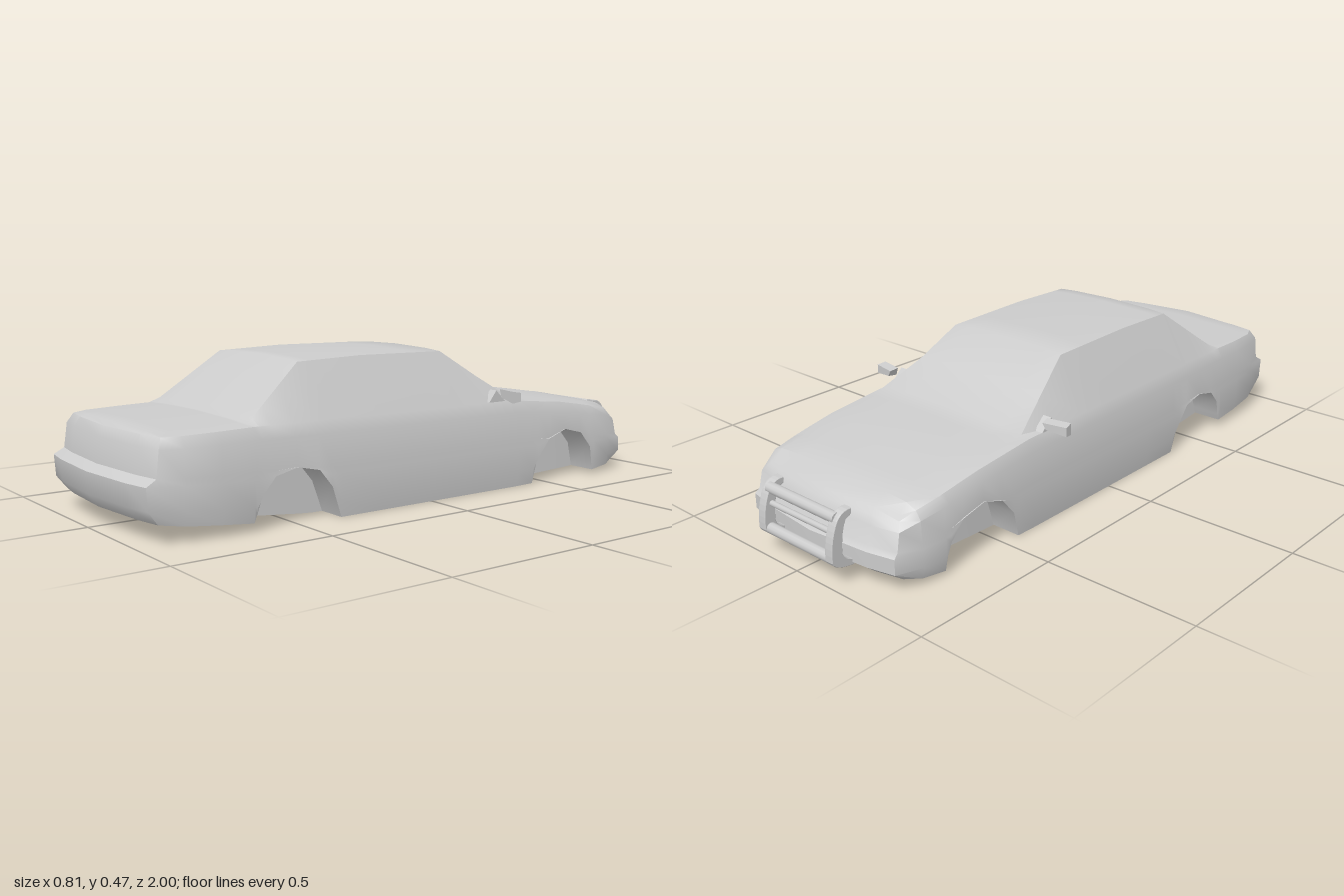
import * as THREE from 'three';
import { toCreasedNormals } from 'three/addons/utils/BufferGeometryUtils.js';

const material = new THREE.MeshStandardMaterial({ color: 0xcccccc, side: THREE.DoubleSide });

// Curves along the car: [z, value], from the tail (+z) to the nose (-z)
const BOTTOM = [[0.97, 0.06], [0.62, 0.025], [0.4, 0.003], [-0.4, 0.003], [-0.75, 0.015], [-0.91, 0.035]];
const BELT = [[0.95, 0.292], [0.64, 0.298], [-0.37, 0.288], [-0.6, 0.265], [-0.84, 0.222], [-0.9, 0.2]];
const TOP_Y = [[0.93, 0.294], [0.64, 0.302], [0.43, 0.46], [0.2, 0.466], [-0.12, 0.46], [-0.37, 0.293],
  [-0.6, 0.272], [-0.82, 0.239], [-0.9, 0.208]];
const TOP_X = [[0.95, 0.27], [0.64, 0.285], [0.43, 0.225], [-0.12, 0.225], [-0.37, 0.285], [-0.9, 0.265]];
const HALF_WIDTH = [[0.96, 0.31], [0.86, 0.332], [0.75, 0.34], [-0.6, 0.34], [-0.8, 0.334], [-0.9, 0.304]];
const ARCH = [[0.65, 0.025], [0.62, 0.11], [0.58, 0.155], [0.505, 0.172], [0.43, 0.155], [0.385, 0.1], [0.35, 0.003],
  [-0.44, 0.003], [-0.465, 0.09], [-0.515, 0.15], [-0.59, 0.175], [-0.67, 0.155], [-0.72, 0.1], [-0.74, 0.015]];

function at(table, z) {
  if (z >= table[0][0]) return table[0][1];
  for (let i = 1; i < table.length; i++) {
    const [z0, v0] = table[i - 1], [z1, v1] = table[i];
    if (z >= z1) return v0 + (v1 - v0) * (z0 - z) / (z0 - z1);
  }
  return table[table.length - 1][1];
}

// Half section from the floor centre, over the wheel well, up the side to the roof centre
const ACROSS = [0, 0.7, 0.7, 1, 1, 1, 1, 1, 1, 1, 0.7, 0];
function halfSection(z) {
  const floor = at(BOTTOM, z), well = Math.max(floor, at(ARCH, z));
  const belt = at(BELT, z), w = at(HALF_WIDTH, z), x0 = w - 0.006;
  const topX = at(TOP_X, z), topY = at(TOP_Y, z);
  const sides = [[0.17, 0], [0.46, 0], [0.54, 0.003], [0.87, 0.006], [1, 0.024]].map(([f, inset]) =>
    [w - inset, Math.max(floor + f * (belt - floor), well)]);
  return [[0, floor], [x0 * 0.7, floor], [x0 * 0.7, well], [x0, well], ...sides,
    [topX, topY], [topX * 0.7, topY + 0.005], [0, topY + 0.009]];
}

// Ends: one z per section row, bowed back towards the corners
const TAIL = { z: 0.96, bow: 0.032, rows: [0.965, 0.965, 0.965, 0.965, 0.995, 1, 0.967, 0.957, 0.942, 0.925, 0.925, 0.925] };
const NOSE = { z: -0.9, bow: -0.04, rows: [-0.91, -0.91, -0.91, -0.91, -0.945, -0.945, -0.93, -0.918, -0.9, -0.885, -0.885, -0.885] };

function bodyGeometry() {
  const positions = [], index = [];
  const add = (x, y, z) => positions.push(x, y, z) / 3 - 1;
  const quad = (a, b, c, d) => index.push(a, b, c, b, d, c);
  const ring = (z, end) => {
    const half = halfSection(z).map(([x, y], k) => [x, y, end ? end.rows[k] - end.bow * ACROSS[k] ** 2 : z]);
    const mirrored = half.slice(1, -1).reverse().map(([x, y, zz]) => [-x, y, zz]);
    return [...half, ...mirrored].map(p => add(...p));
  };

  const stations = [0.86, 0.75, 0.64, 0.2, 0, -0.12, -0.25, -0.37, -0.82, ...ARCH.map(p => p[0])].sort((a, b) => b - a);
  const rings = [ring(TAIL.z, TAIL), ...stations.map(z => ring(z)), ring(NOSE.z, NOSE)];
  for (let i = 0; i < rings.length - 1; i++) {
    const n = rings[i].length;
    for (let k = 0; k < n; k++) {
      const next = (k + 1) % n;
      quad(rings[i][k], rings[i + 1][k], rings[i][next], rings[i + 1][next]);
    }
  }

  // Tail and nose panels
  for (const end of [TAIL, NOSE]) {
    const half = halfSection(end.z);
    const grid = [];
    for (let r = 3; r <= 9; r++) {
      grid.push([-1, -0.7, 0, 0.7, 1].map(u => {
        const crown = r < 9 || Math.abs(u) === 1 ? 0 : u ? 0.005 : 0.009;
        return add(u * half[r][0], half[r][1] + crown, end.rows[r] - end.bow * u * u);
      }));
    }
    for (let r = 0; r < grid.length - 1; r++) {
      for (let c = 0; c < 4; c++) {
        const [a, b, d, e] = [grid[r][c], grid[r][c + 1], grid[r + 1][c], grid[r + 1][c + 1]];
        if (end === TAIL) quad(a, b, d, e);
        else quad(b, a, e, d);
      }
    }
  }
  const geometry = new THREE.BufferGeometry();
  geometry.setAttribute('position', new THREE.Float32BufferAttribute(positions, 3));
  geometry.setIndex(index);
  return toCreasedNormals(geometry, 0.7);
}

function part(name, geometry, x = 0, y = 0, z = 0) {
  const mesh = new THREE.Mesh(geometry, material);
  mesh.name = name;
  mesh.position.set(x, y, z);
  return mesh;
}

// Door mirror: housing tapered towards the door, with a short foot
function doorMirror(side) {
  const group = new THREE.Group();
  group.name = side > 0 ? 'leftMirror' : 'rightMirror';
  const shell = new THREE.BoxGeometry(0.08, 0.038, 0.03);
  const p = shell.attributes.position;
  for (let i = 0; i < p.count; i++) {
    if (p.getX(i) * side < 0) {
      p.setY(i, p.getY(i) > 0 ? 0.019 : -0.008);
      p.setX(i, p.getX(i) + (p.getY(i) < 0 ? side * 0.012 : 0));
    }
    if (p.getZ(i) < 0) p.setY(i, p.getY(i) * 0.75);
  }
  shell.computeVertexNormals();
  const housing = part('mirrorHousing', shell, side * 0.364, 0.314, -0.303);
  housing.rotation.y = -side * 0.2;
  const foot = new THREE.Shape([[0.25, 0.292], [0.28, 0.33], [0.32, 0.292]].map(q => new THREE.Vector2(...q)));
  const base = part('mirrorFoot', new THREE.ExtrudeGeometry(foot, { depth: 0.03, bevelEnabled: false }),
    side > 0 ? 0.293 : -0.323);
  base.rotation.y = Math.PI / 2;
  group.add(housing, base);
  return group;
}

// Push bar: two curved uprights joined by cross bars
function pushBar() {
  const group = new THREE.Group();
  group.name = 'pushBar';
  const shape = new THREE.Shape();
  shape.moveTo(0.925, 0.225);
  shape.quadraticCurveTo(0.965, 0.228, 0.98, 0.19);
  shape.quadraticCurveTo(1.0, 0.145, 0.998, 0.085);
  shape.quadraticCurveTo(0.99, 0.06, 0.925, 0.055);
  shape.lineTo(0.925, 0.07);
  shape.quadraticCurveTo(0.965, 0.08, 0.964, 0.11);
  shape.quadraticCurveTo(0.962, 0.17, 0.945, 0.2);
  shape.lineTo(0.925, 0.21);
  const upright = new THREE.ExtrudeGeometry(shape, { depth: 0.022, curveSegments: 6,
    bevelThickness: 0.004, bevelSize: 0.002, bevelSegments: 2 });
  for (const x of [-0.157, 0.135]) {
    const mesh = part('upright', upright, x);
    mesh.rotation.y = Math.PI / 2;
    group.add(mesh);
  }
  for (const [name, y, z, r] of [['topBar', 0.204, -0.963, 0.017], ['middleBar', 0.16, -0.97, 0.009],
    ['lowerBar', 0.085, -0.98, 0.017]]) {
    const bar = part(name, new THREE.CylinderGeometry(r, r, 0.29, 12), 0, y, z);
    bar.rotation.z = Math.PI / 2;
    group.add(bar);
  }
  return group;
}

export function createModel() {
  const car = new THREE.Group();
  car.name = 'car';
  car.add(part('body', bodyGeometry()), doorMirror(1), doorMirror(-1), pushBar());
  return car;
}
